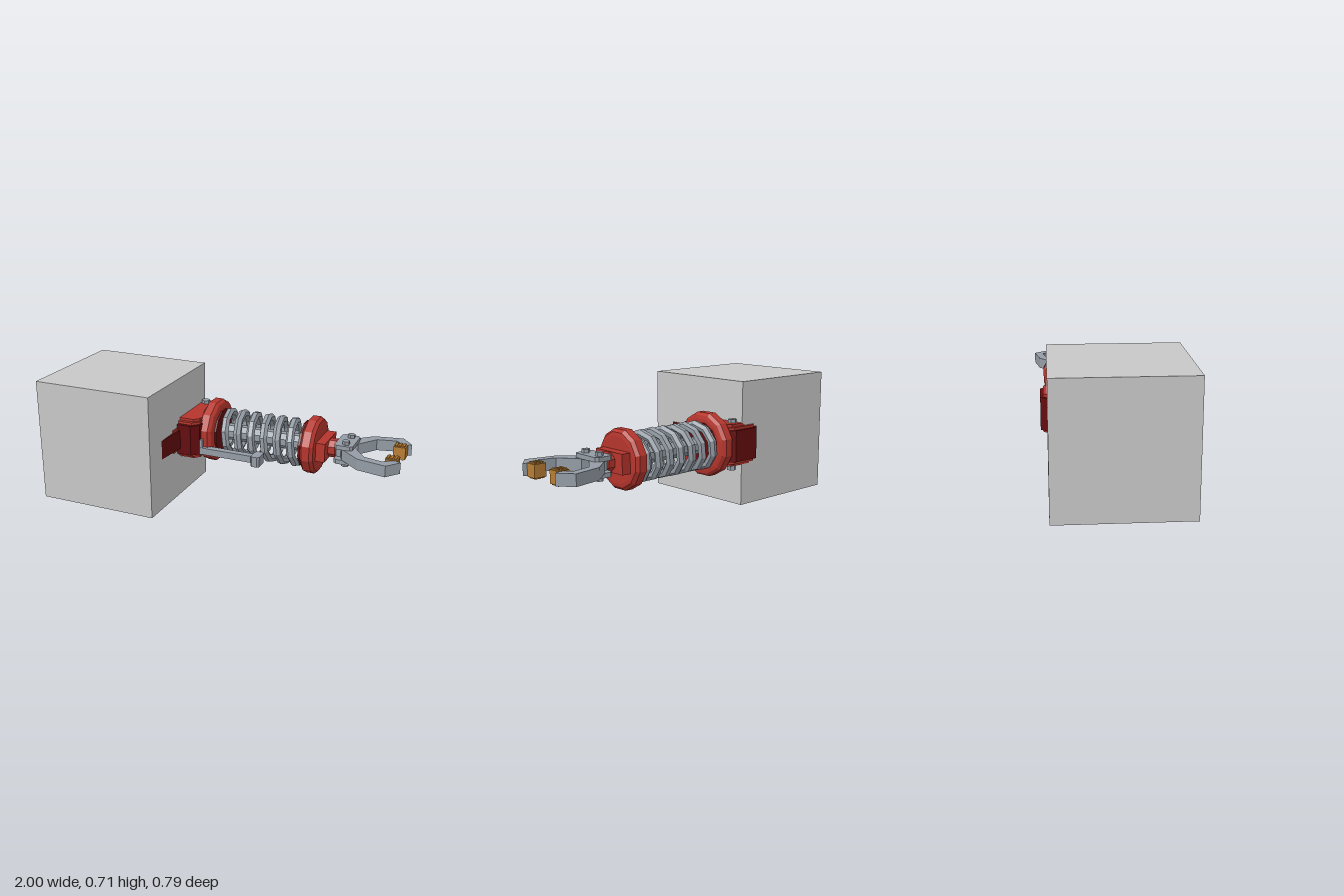
import * as THREE from 'three';

const AXIS_Y = 0.36, AXIS_Z = -0.18; // centre line of the arm, running along x

export function createModel() {
  const root = new THREE.Group();
  root.name = 'gripperArm';
  const mat = (name, color) => {
    const m = new THREE.MeshStandardMaterial({ color });
    m.name = name;
    return m;
  };
  const red = mat('red', 0xb5352c);
  const darkRed = mat('darkRed', 0x640c0e);
  const steel = mat('steel', 0x949ca5);
  const paleGrey = mat('paleGrey', 0xc8c8c8);
  const amber = mat('amber', 0xb87d33);

  // Faceted mesh
  const add = (name, geo, material) => {
    const g = geo.index ? geo.toNonIndexed() : geo;
    g.computeVertexNormals();
    const mesh = new THREE.Mesh(g, material);
    mesh.name = name;
    root.add(mesh);
    return mesh;
  };
  // Box from its limits
  const box = (name, x0, x1, y0, y1, z0, z1, m) =>
    add(name, new THREE.BoxGeometry(x1 - x0, y1 - y0, z1 - z0)
      .translate((x0 + x1) / 2, (y0 + y1) / 2, (z0 + z1) / 2), m);
  // Flat outline in x/z, extruded from y0 to y1
  const slab = (name, pts, y0, y1, m) => {
    const shape = new THREE.Shape(pts.map(([x, z]) => new THREE.Vector2(x, -z)));
    return add(name, new THREE.ExtrudeGeometry(shape, { depth: y1 - y0, bevelEnabled: false })
      .rotateX(-Math.PI / 2).translate(0, y0, 0), m);
  };
  // Turned part on the arm's axis; profile is [x, distance to flat side]
  const turned = (name, profile, m, sides = 12) => {
    const k = 1 / Math.cos(Math.PI / sides);
    return add(name, new THREE.LatheGeometry(
      profile.map(([x, r]) => new THREE.Vector2(r * k, x)), sides, Math.PI / sides)
      .rotateZ(-Math.PI / 2).translate(0, AXIS_Y, AXIS_Z), m);
  };
  const bolt = (name, x, z, r, y0, y1) =>
    add(name, new THREE.CylinderGeometry(r, r, y1 - y0, 6).translate(x, (y0 + y1) / 2, z), steel);
  // Rectangle with cut corners
  const cut = (x0, x1, z0, z1, c) => [
    [x0 + c, z0], [x1 - c, z0], [x1, z0 + c], [x1, z1 - c],
    [x1 - c, z1], [x0 + c, z1], [x0, z1 - c], [x0, z0 + c]];

  // Base block
  box('baseBlock', -1, -0.285, 0, 0.715, -0.325, 0.39, paleGrey);

  // Shoulder bracket: dark core with stepped red plates above and below
  slab('bracketCore', cut(-0.41, -0.16, -0.36, 0.06, 0.04), 0.27, 0.45, darkRed);
  slab('bracketPlate', cut(-0.395, -0.165, -0.345, 0.04, 0.035), 0.255, 0.465, red);
  slab('bracketCap', cut(-0.38, -0.17, -0.325, 0.02, 0.03), 0.24, 0.48, red);
  slab('bracketBlade', [[-0.35, 0], [-0.255, 0], [-0.265, 0.06], [-0.285, 0.25], [-0.35, 0.25]],
    0.305, 0.415, darkRed);
  box('bladeRoot', -0.34, -0.278, 0.29, 0.43, 0, 0.115, red);
  bolt('bracketBolt', -0.255, -0.275, 0.025, 0.205, 0.5);

  // Collars at both ends of the spring
  turned('rearCollar', [[-0.2, 0], [-0.2, 0.13], [-0.182, 0.155], [-0.168, 0.18], [-0.122, 0.18],
    [-0.105, 0.165], [-0.1, 0.145], [-0.1, 0]], red);
  turned('rearSpringSeat', [[-0.102, 0], [-0.102, 0.125], [-0.09, 0.125], [-0.09, 0]], darkRed);
  turned('frontSpringSeat', [[0.413, 0], [0.413, 0.13], [0.435, 0.13], [0.435, 0]], darkRed);
  turned('frontCollar', [[0.43, 0], [0.43, 0.14], [0.445, 0.16], [0.49, 0.16],
    [0.508, 0.145], [0.512, 0.125], [0.512, 0]], red);

  // Centre shaft
  turned('shaft', [[-0.1, 0], [-0.1, 0.045], [0.42, 0.045], [0.42, 0]], steel, 8);

  // Coil spring
  class Helix extends THREE.Curve {
    getPoint(t, target = new THREE.Vector3()) {
      const a = t * 6.4 * Math.PI * 2;
      return target.set(-0.095 + 0.08 * a / (Math.PI * 2),
        AXIS_Y - 0.122 * Math.cos(a), AXIS_Z - 0.122 * Math.sin(a));
    }
  }
  add('spring', new THREE.TubeGeometry(new Helix(), 64, 0.024, 6, false), steel).material = steel;

  // Side rod with its end block
  box('sideRodFoot', -0.165, -0.145, 0.27, 0.36, -0.03, 0.02, steel);
  box('sideRod', -0.16, 0.18, 0.272, 0.312, -0.02, 0.022, steel);
  slab('sideRodEnd', cut(0.165, 0.218, -0.043, 0.047, 0.012), 0.26, 0.32, steel);

  // Wrist
  turned('wristHub', [[0.5, 0], [0.5, 0.05], [0.605, 0.05], [0.617, 0.04], [0.617, 0]], red, 8);
  box('wristCross', 0.5, 0.565, 0.305, 0.415, -0.288, -0.072, red);

  // Gripper mount
  for (const y of [0.305, 0.39]) {
    slab('gripperPlate', cut(0.61, 0.715, -0.272, -0.088, 0.015), y, y + 0.025, steel);
  }
  box('gripperCore', 0.612, 0.66, 0.33, 0.39, -0.225, -0.135, steel);

  // Mirrored jaws with pivot bolts and ribbed pads
  const jaw = [[0.635, -0.215], [0.655, -0.262], [0.77, -0.364], [0.933, -0.396], [0.997, -0.318],
    [0.957, -0.303], [0.903, -0.342], [0.797, -0.318], [0.717, -0.21], [0.66, -0.195]];
  for (const s of [1, -1]) {
    const mz = z => AXIS_Z + s * (z - AXIS_Z);
    slab('jaw', jaw.map(([x, z]) => [x, mz(z)]), 0.328, 0.392, steel);
    bolt('jawBolt', 0.67, mz(-0.235), 0.021, 0.285, 0.435);
    const [z0, z1] = [mz(-0.308), mz(-0.245)].sort((a, b) => a - b);
    box('gripPad', 0.908, 0.977, 0.325, 0.395, z0, z1, amber);
    for (const x of [0.915, 0.936, 0.957]) {
      box('gripRib', x, x + 0.012, 0.318, 0.402, z0 + 0.006, z1 - 0.006, amber);
    }
  }
  return root;
}
